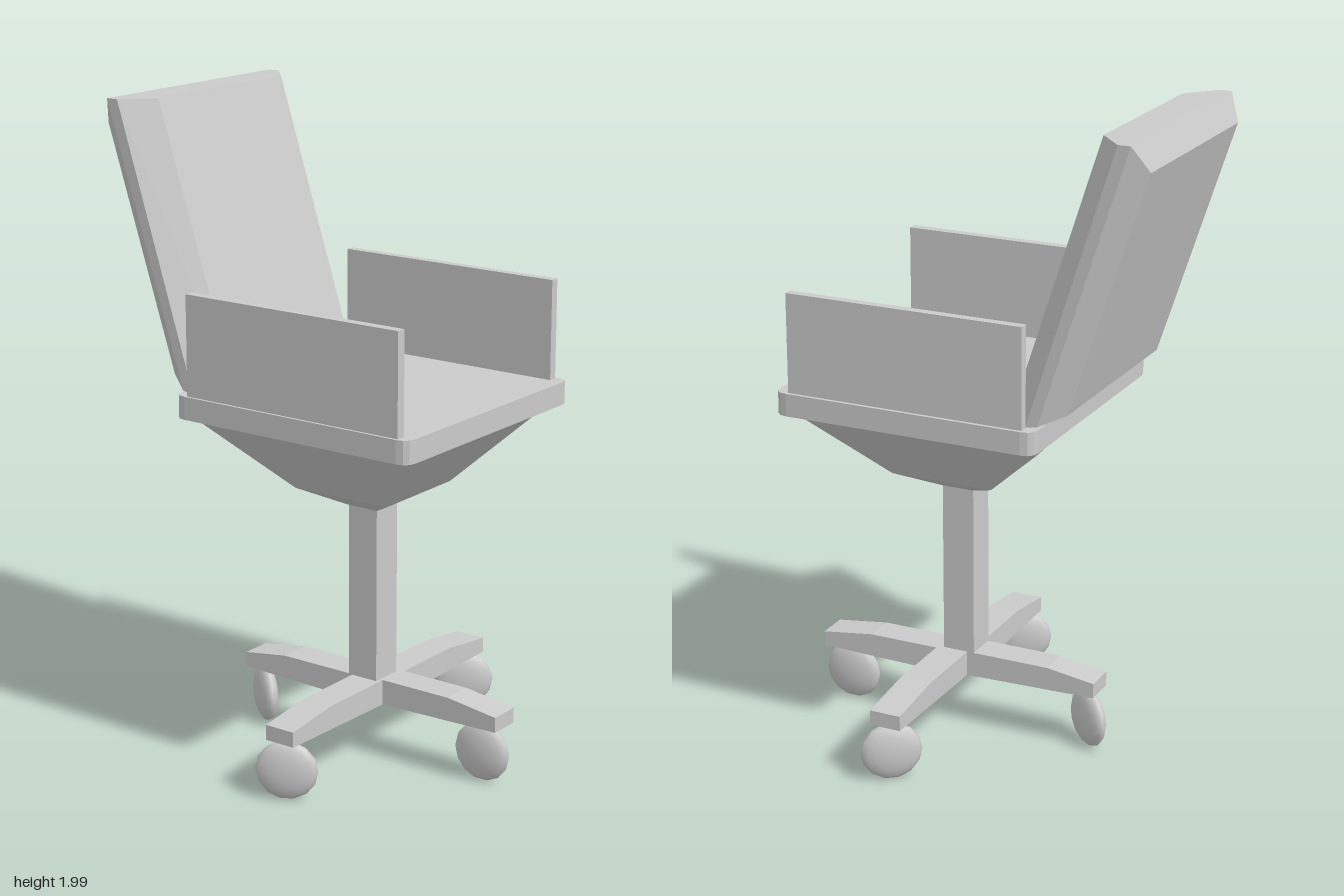
import * as THREE from 'three';

const material = new THREE.MeshStandardMaterial({ color: 0xcccccc });
const CX = 0.113, CZ = 0.017; // axis of the pole

function part(name, geometry, x = 0, y = 0, z = 0) {
  const mesh = new THREE.Mesh(geometry, material);
  mesh.name = name;
  mesh.position.set(x, y, z);
  return mesh;
}

// Box given by its lower and upper limits
function block(name, [x0, x1], [y0, y1], [z0, z1]) {
  return part(name, new THREE.BoxGeometry(x1 - x0, y1 - y0, z1 - z0),
    (x0 + x1) / 2, (y0 + y1) / 2, (z0 + z1) / 2);
}

// Flat-faced solid through four-cornered rings, counterclockwise about the loft direction
function loft(rings) {
  const points = [];
  const quad = (a, b, c, d) => [a, b, c, a, c, d].forEach((p) => points.push(...p));
  for (let i = 0; i < rings.length - 1; i++) {
    const a = rings[i], b = rings[i + 1];
    for (let j = 0; j < 4; j++) {
      const k = (j + 1) % 4;
      quad(a[j], a[k], b[k], b[j]);
    }
  }
  const first = rings[0], last = rings[rings.length - 1];
  quad(first[3], first[2], first[1], first[0]);
  quad(...last);
  const geometry = new THREE.BufferGeometry();
  geometry.setAttribute('position', new THREE.Float32BufferAttribute(points, 3));
  geometry.computeVertexNormals();
  return geometry;
}

// Seat slab with small rounded corners
function seatGeometry(half, r, thickness) {
  const s = new THREE.Shape();
  s.moveTo(-half + r, -half);
  s.lineTo(half - r, -half);
  s.quadraticCurveTo(half, -half, half, -half + r);
  s.lineTo(half, half - r);
  s.quadraticCurveTo(half, half, half - r, half);
  s.lineTo(-half + r, half);
  s.quadraticCurveTo(-half, half, -half, half - r);
  s.lineTo(-half, -half + r);
  s.quadraticCurveTo(-half, -half, -half + r, -half);
  const g = new THREE.ExtrudeGeometry(s, { depth: thickness, bevelEnabled: false, curveSegments: 3 });
  return g.rotateX(-Math.PI / 2);
}

// Base leg running along +x, sloping down past its knee
function legGeometry(length) {
  const s = new THREE.Shape([
    new THREE.Vector2(0, 0.18), new THREE.Vector2(length, 0.19),
    new THREE.Vector2(length, 0.237), new THREE.Vector2(0.3, 0.26), new THREE.Vector2(0, 0.26),
  ]);
  return new THREE.ExtrudeGeometry(s, { depth: 0.1, bevelEnabled: false }).translate(0, 0, -0.05);
}

export function createModel() {
  const chair = new THREE.Group();
  chair.name = 'swivelChair';

  // Seat and side panels
  chair.add(part('seat', seatGeometry(0.418, 0.04, 0.07), CX, 1.09, 0.015));
  chair.add(block('armPanelNear', [-0.26, 0.492], [1.15, 1.465], [0.395, 0.425]));
  chair.add(block('armPanelFar', [-0.265, 0.488], [1.15, 1.465], [-0.392, -0.364]));

  // Reclined backrest, layered from its front face to its rear face
  const layers = [
    // top x, top y, bottom x, bottom y, min z, max z
    [-0.45, 2.0, -0.18, 1.17, -0.27, 0.307],
    [-0.53, 2.0, -0.262, 1.16, -0.36, 0.397],
    [-0.568, 2.0, -0.298, 1.165, -0.36, 0.397],
    [-0.607, 1.92, -0.37, 1.195, -0.31, 0.35],
  ];
  chair.add(part('backrest', loft(layers.map(([tx, ty, bx, by, z0, z1]) =>
    [[bx, by, z1], [tx, ty, z1], [tx, ty, z0], [bx, by, z0]]))));

  // Tapered pan under the seat
  const pan = [[0.8, 0.053], [0.86, 0.165], [1.09, 0.378]];
  chair.add(part('seatPan', loft(pan.map(([y, h]) =>
    [[h, y, h], [h, y, -h], [-h, y, -h], [-h, y, h]])), CX, 0, CZ));

  chair.add(block('pole', [0.062, 0.165], [0.2, 0.81], [-0.035, 0.069]));

  // Four legs: heading, length, start x, start z
  const legs = [
    [0, 0.47, CX, 0], [Math.PI, 0.455, CX, 0.015],
    [-Math.PI / 2, 0.482, 0.125, 0.01], [Math.PI / 2, 0.495, 0.135, 0.01],
  ];
  for (const [heading, length, x, z] of legs) {
    const leg = part('baseLeg', legGeometry(length), x, 0, z);
    leg.rotation.y = heading;
    chair.add(leg);
  }

  // Flattened casters, each swivelled its own way: x, z, swivel in degrees
  const casters = [[0.508, 0.003, 0], [-0.305, 0.015, -37], [0.127, 0.462, 28], [0.135, -0.447, 37]];
  const wheel = new THREE.SphereGeometry(1, 14, 10).rotateX(Math.PI / 2).scale(0.094, 0.092, 0.033);
  for (const [x, z, swivel] of casters) {
    const caster = part('caster', wheel, x, 0.098, z);
    caster.rotation.y = THREE.MathUtils.degToRad(swivel);
    chair.add(caster);
  }
  return chair;
}
